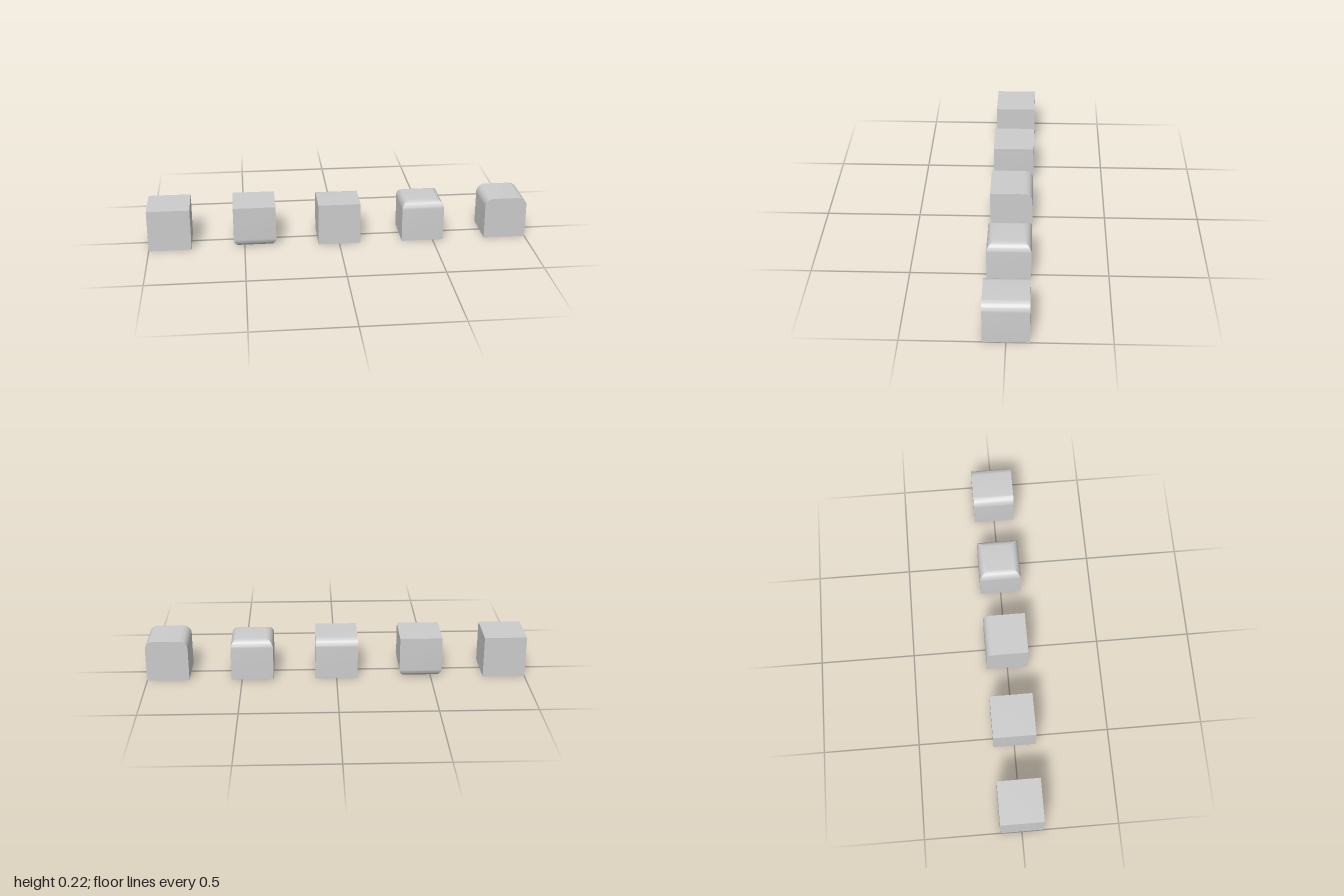
import * as THREE from 'three';
import { toCreasedNormals } from 'three/addons/utils/BufferGeometryUtils.js';

const SIZE = 2 / 9;
const RADIUS = SIZE * 0.2;
const STEPS = 10;

// Cube whose chosen top edges are rounded; the rounds meet in mitred corners.
function roundedTopCube({ left = false, right = false, front = false, back = false }) {
  const half = SIZE / 2;
  const geo = new THREE.BoxGeometry(SIZE, SIZE, SIZE, 1, STEPS + 1, 1);
  const pos = geo.attributes.position;
  for (let i = 0; i < pos.count; i++) {
    const row = Math.round(((pos.getY(i) + half) / SIZE) * (STEPS + 1));
    if (row === 0) continue;
    // Rows above the base follow a quarter circle up to the top face
    const a = ((row - 1) / STEPS) * (Math.PI / 2);
    const inset = RADIUS * (1 - Math.cos(a));
    const x = pos.getX(i), z = pos.getZ(i);
    pos.setXYZ(
      i,
      x > 0 ? x - (left ? inset : 0) : x + (right ? inset : 0),
      half - RADIUS + RADIUS * Math.sin(a),
      z > 0 ? z - (front ? inset : 0) : z + (back ? inset : 0)
    );
  }
  return toCreasedNormals(geo, 0.5);
}

export function createModel() {
  const model = new THREE.Group();
  model.name = 'roundedCubeRow';
  const material = new THREE.MeshStandardMaterial({ color: 0xcccccc });
  const all = { left: true, right: true, front: true, back: true };

  // Row of cubes from -x to +x
  const cubes = [
    ['plainCube', new THREE.BoxGeometry(SIZE, SIZE, SIZE)],
    ['roundedBottomCube', roundedTopCube(all).rotateX(Math.PI)],
    ['roundedBackEdgeCube', roundedTopCube({ back: true })],
    ['roundedTopCube', roundedTopCube(all)],
    ['roundedSideEdgesCube', roundedTopCube({ left: true, right: true })],
  ];
  cubes.forEach(([name, geometry], i) => {
    const mesh = new THREE.Mesh(geometry, material);
    mesh.name = name;
    mesh.position.set((i - 2) * SIZE * 2, SIZE / 2, 0);
    model.add(mesh);
  });
  return model;
}
